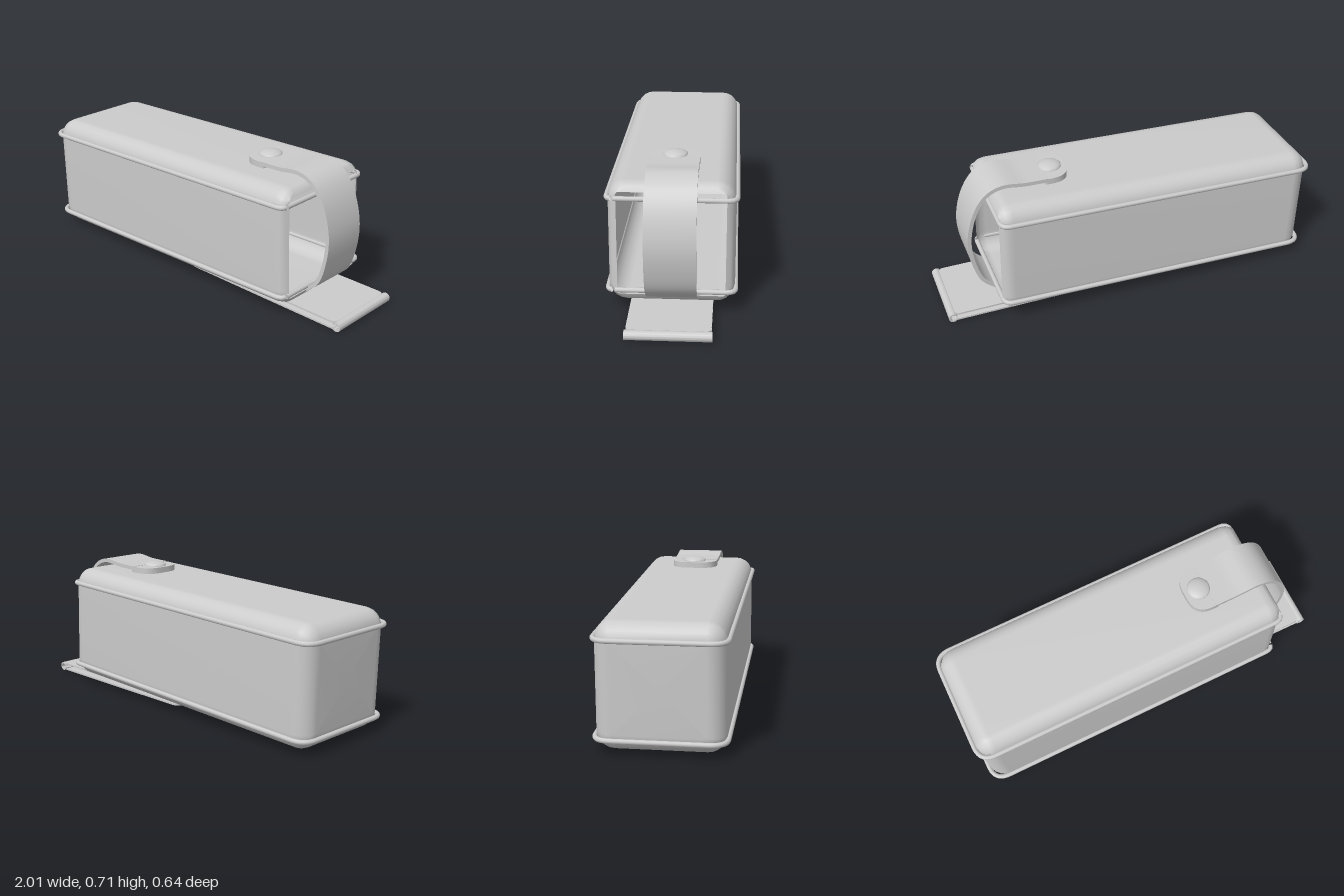
import * as THREE from 'three';
import { toCreasedNormals } from 'three/addons/utils/BufferGeometryUtils.js';

const grey = new THREE.MeshStandardMaterial({ color: 0xcccccc, side: THREE.DoubleSide });

function add(parent, name, geometry) {
  const mesh = new THREE.Mesh(geometry, grey);
  mesh.name = name;
  parent.add(mesh);
  return mesh;
}

// Rounded rectangle outline as [a, b] points
function roundRect(hw, hh, r, n = 5) {
  const pts = [];
  [[1, 1], [-1, 1], [-1, -1], [1, -1]].forEach(([sx, sy], q) => {
    for (let i = 0; i <= n; i++) {
      const t = (q + i / n) * Math.PI / 2;
      pts.push([sx * (hw - r) + r * Math.cos(t), sy * (hh - r) + r * Math.sin(t)]);
    }
  });
  return pts;
}

// Hollow shell: rounded sections lofted along x, closed at -x and open at +x
function shellGeometry() {
  const H = 0.307, W = 0.305, R = 0.09;
  const rings = [];
  for (let i = 0; i <= 5; i++) {
    const t = i / 5 * Math.PI / 2;
    rings.push([-0.85 + 0.09 * (1 - Math.sin(t)), 0.09 * (1 - Math.cos(t)), 0]);
  }
  rings.reverse();
  rings.sort((a, b) => a[0] - b[0]);
  for (const r of rings) r[1] = 0.09 - Math.sqrt(Math.max(0, 0.0081 - (r[0] + 0.76) ** 2));
  rings.push([0.785, 0], [0.82, 0.008], [0.838, 0.022], [0.85, 0.045]);
  const pos = [], idx = [];
  for (const [x, d] of rings) {
    const r = x > 0.84 ? 0.012 : Math.max(R - d, 0.004);
    for (const [z, y] of roundRect(W - d, H - d, r)) pos.push(x, y, z);
  }
  const n = pos.length / 3 / rings.length;
  for (let i = 0; i < rings.length - 1; i++) {
    for (let j = 0; j < n; j++) {
      const a = i * n + j, b = i * n + (j + 1) % n;
      idx.push(a, a + n, b, b, a + n, b + n);
    }
  }
  const centre = pos.length / 3;
  pos.push(rings[0][0], 0, 0);
  for (let j = 0; j < n; j++) idx.push(centre, j, (j + 1) % n);
  const g = new THREE.BufferGeometry();
  g.setAttribute('position', new THREE.Float32BufferAttribute(pos, 3));
  g.setIndex(idx);
  // Faces must point outward
  const p = g.attributes.position, va = new THREE.Vector3(), vb = new THREE.Vector3(), vc = new THREE.Vector3();
  let vol = 0;
  for (let i = 0; i < idx.length; i += 3) {
    va.fromBufferAttribute(p, idx[i]);
    vb.fromBufferAttribute(p, idx[i + 1]);
    vc.fromBufferAttribute(p, idx[i + 2]);
    vol += va.dot(vb.cross(vc));
  }
  if (vol < 0) g.setIndex(idx.reverse());
  g.computeVertexNormals();
  return g;
}

// Piping: tube round the box, with a small seam gap at one corner of the open end
function pipingGeometry() {
  const path = new THREE.CurvePath();
  const v = (x, z) => new THREE.Vector3(x, 0, z);
  const L = -0.857, E = 0.846, W = 0.308, l = 0.085, e = 0.045;
  const bend = (a, b, c) => path.add(new THREE.QuadraticBezierCurve3(a, b, c));
  const line = (a, b) => path.add(new THREE.LineCurve3(a, b));
  line(v(E, 0.272), v(E, -W + e));
  bend(v(E, -W + e), v(E, -W), v(E - e, -W));
  line(v(E - e, -W), v(L + l, -W));
  bend(v(L + l, -W), v(L, -W), v(L, -W + l));
  line(v(L, -W + l), v(L, W - l));
  bend(v(L, W - l), v(L, W), v(L + l, W));
  line(v(L + l, W), v(E - e, W));
  bend(v(E - e, W), v(E - 0.005, W), v(E, 0.285));
  return new THREE.TubeGeometry(path, 260, 0.0125, 10, false);
}

// Thick ribbon following a curve in the xy plane, centred across z
function ribbon(curve, n, thick, width) {
  const outer = [], inner = [];
  for (let i = 0; i <= n; i++) {
    const p = curve.getPointAt(i / n), t = curve.getTangentAt(i / n);
    const nx = -t.y * thick / 2, ny = t.x * thick / 2;
    outer.push(new THREE.Vector2(p.x + nx, p.y + ny));
    inner.unshift(new THREE.Vector2(p.x - nx, p.y - ny));
  }
  const g = new THREE.ExtrudeGeometry(new THREE.Shape([...outer, ...inner]), { depth: width, bevelEnabled: false });
  g.translate(0, 0, -width / 2);
  return toCreasedNormals(g, 0.6);
}

// Flat sheet in xz with radii for its -x and +x corners, from y0 up
function sheet(x0, x1, hw, rl, rr, y0, thick) {
  const s = new THREE.Shape();
  s.moveTo(x0 + rl, -hw);
  s.lineTo(x1 - rr, -hw);
  s.quadraticCurveTo(x1, -hw, x1, -hw + rr);
  s.lineTo(x1, hw - rr);
  s.quadraticCurveTo(x1, hw, x1 - rr, hw);
  s.lineTo(x0 + rl, hw);
  s.quadraticCurveTo(x0, hw, x0, hw - rl);
  s.lineTo(x0, -hw + rl);
  s.quadraticCurveTo(x0, -hw, x0 + rl, -hw);
  const g = new THREE.ExtrudeGeometry(s, { depth: thick, bevelEnabled: false, curveSegments: 10 });
  g.rotateX(-Math.PI / 2).translate(0, y0, 0);
  return toCreasedNormals(g, 0.6);
}

export function createModel() {
  const model = new THREE.Group();
  model.name = 'case';

  // Slightly tilted open-ended case with two lines of piping
  const box = new THREE.Group();
  box.name = 'caseBody';
  box.position.set(-0.13, 0.34, 0);
  box.rotation.z = 0.0285;
  model.add(box);
  add(box, 'shell', shellGeometry());
  add(box, 'upperPiping', pipingGeometry()).position.y = 0.227;
  add(box, 'lowerPiping', pipingGeometry()).position.y = -0.243;

  // Closing strap arching over the open end
  const path = new THREE.CatmullRomCurve3([
    [0.41, 0.685], [0.53, 0.688], [0.65, 0.699], [0.73, 0.668], [0.795, 0.58],
    [0.838, 0.42], [0.825, 0.27], [0.785, 0.16], [0.715, 0.095],
  ].map(([x, y]) => new THREE.Vector3(x, y, 0)));
  add(model, 'strap', ribbon(path, 48, 0.02, 0.246));

  // Rounded tab and domed snap at the end of the strap
  add(model, 'strapTab', sheet(0.292, 0.43, 0.123, 0.1, 0.012, 0.662, 0.031));
  const dome = [[0.06, 0], [0.06, 0.006], [0.052, 0.013], [0.035, 0.019], [0.018, 0.022], [0, 0.023]];
  const snap = add(model, 'snapButton', new THREE.LatheGeometry(dome.map(([x, y]) => new THREE.Vector2(x, y)), 32));
  snap.position.set(0.37, 0.692, 0);

  // Folded belt plate under the case, with a rolled edge
  add(model, 'lowerPlate', sheet(-0.02, 0.975, 0.2, 0.05, 0.002, 0.003, 0.009));
  add(model, 'upperPlate', sheet(0.53, 0.965, 0.2, 0.002, 0.03, 0.036, 0.009));
  const roll = new THREE.EllipseCurve(0.976, 0.024, 0.02, 0.02, Math.PI * 0.85, -Math.PI * 0.9, true);
  add(model, 'rolledEdge', ribbon(roll, 24, 0.008, 0.41));

  return model;
}
